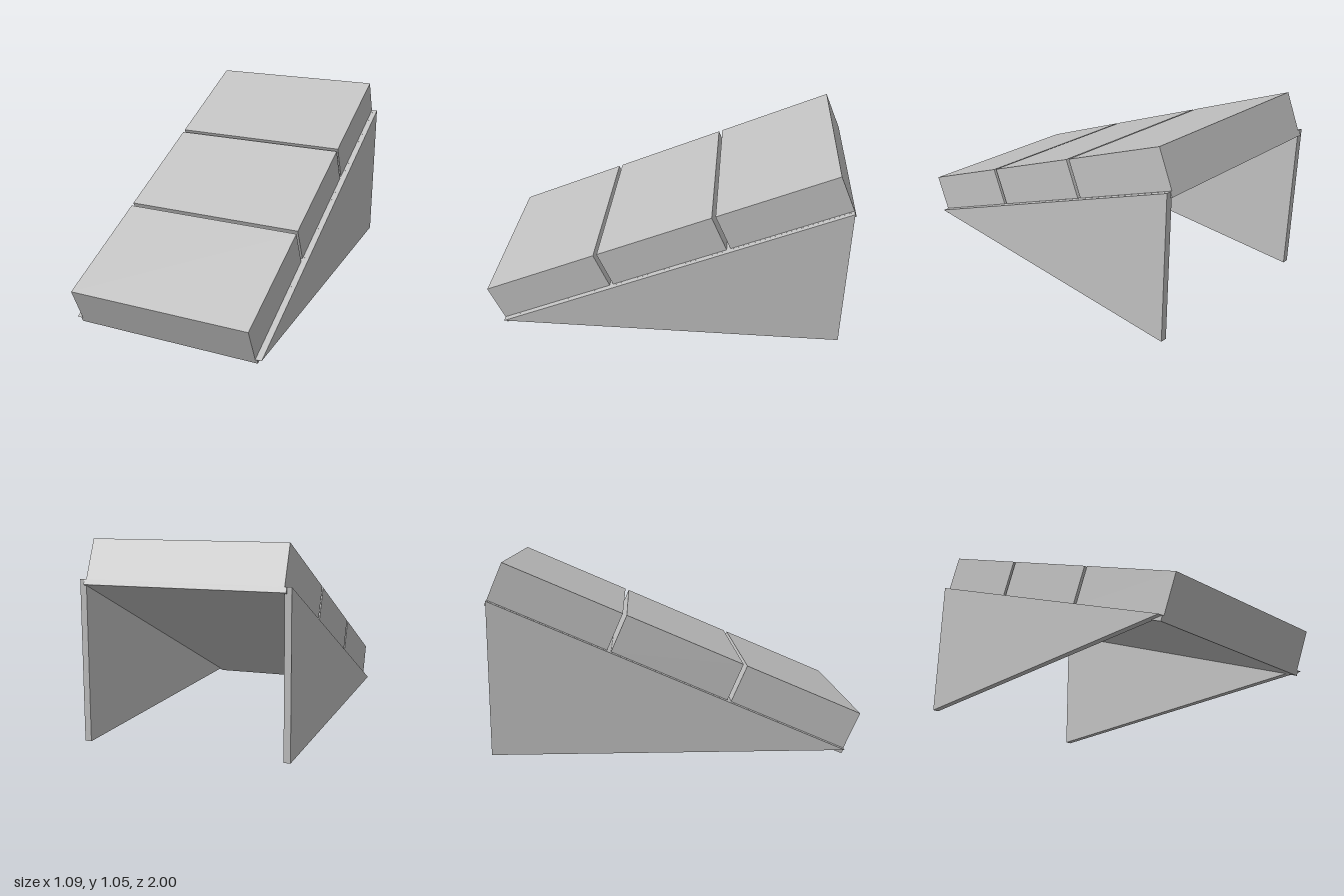
import * as THREE from 'three';

export function createModel() {
  const model = new THREE.Group();
  model.name = 'paddedRamp';
  const grey = new THREE.MeshStandardMaterial({ color: 0xc0c0c0 });
  grey.name = 'light grey';

  // Sloping deck: its own -z runs uphill from the low front edge
  const slope = 0.411, length = 2.076, gap = 0.022;
  const deck = new THREE.Group();
  deck.name = 'deck';
  deck.position.set(0, 0.027, 0.915);
  deck.rotation.x = slope;
  model.add(deck);

  const addSlab = (name, width, bottom, top, start, end) => {
    const mesh = new THREE.Mesh(new THREE.BoxGeometry(width, top - bottom, end - start), grey);
    mesh.name = name;
    mesh.position.set(0, (top + bottom) / 2, -(start + end) / 2);
    deck.add(mesh);
  };

  // Thin board under three separate cushions
  addSlab('baseBoard', 1.04, -0.029, 0, 0, length);
  const cushion = (length - 2 * gap) / 3;
  for (let i = 0; i < 3; i++) {
    const start = i * (cushion + gap);
    addSlab('cushion' + (i + 1), 1.02, 0, 0.213, start, start + cushion);
  }

  // Triangular side panels; shape x is -z, shape y is up
  const shape = new THREE.Shape([
    new THREE.Vector2(-0.915, 0.027),
    new THREE.Vector2(0.988, 0.027),
    new THREE.Vector2(0.988, 0.856),
  ]);
  const panel = new THREE.ExtrudeGeometry(shape, { depth: 0.034, bevelEnabled: false });
  panel.rotateY(Math.PI / 2);
  for (const [name, x] of [['leftPanel', 0.51], ['rightPanel', -0.544]]) {
    const mesh = new THREE.Mesh(panel, grey);
    mesh.name = name;
    mesh.position.x = x;
    model.add(mesh);
  }
  return model;
}
